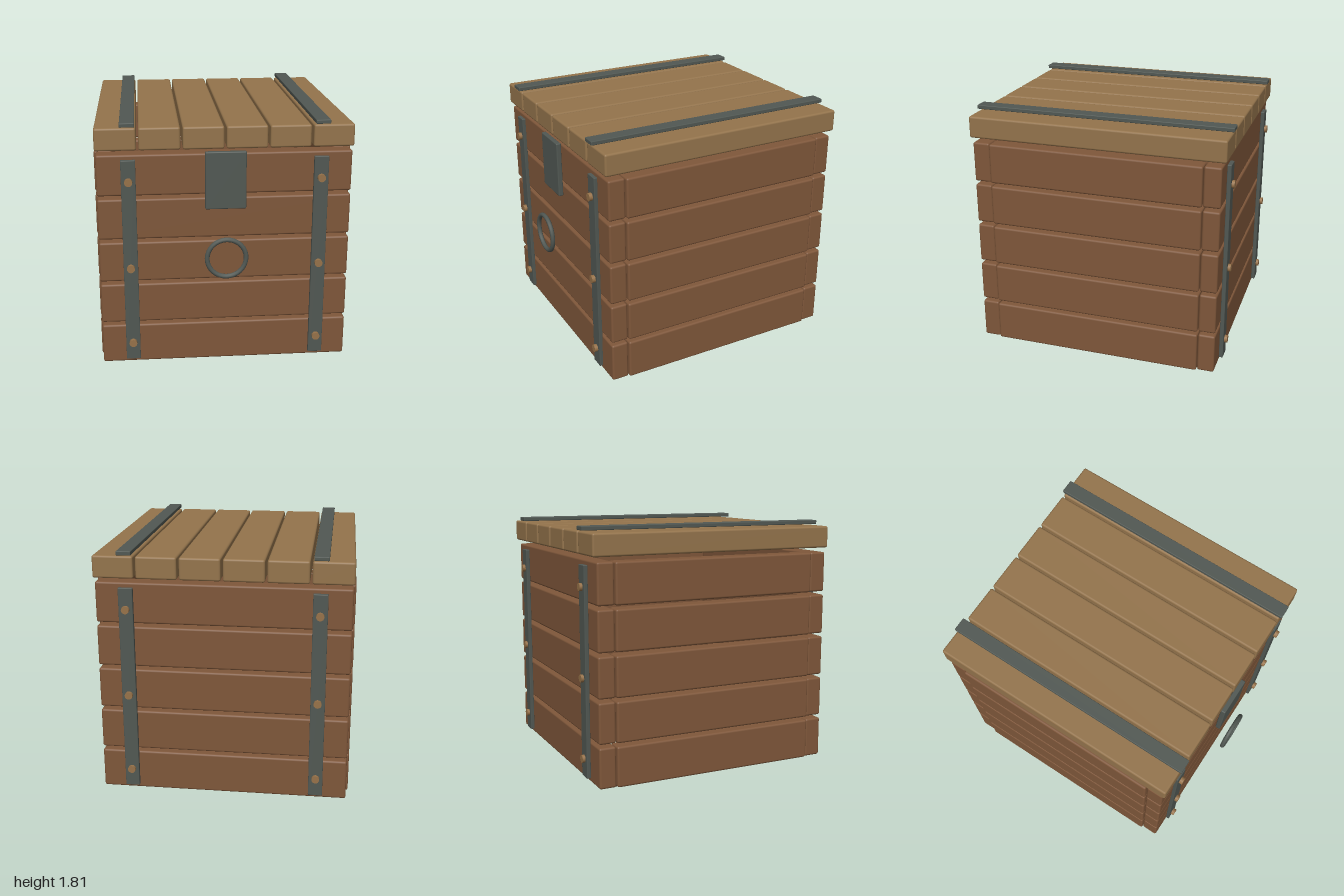
import * as THREE from 'three';
import { RoundedBoxGeometry } from 'three/addons/geometries/RoundedBoxGeometry.js';

const material = (name, color) => {
  const m = new THREE.MeshStandardMaterial({ color });
  m.name = name;
  return m;
};

export function createModel() {
  const chest = new THREE.Group();
  chest.name = 'woodenChest';

  const darkWood = material('dark wood', 0x7f573a);
  const lightWood = material('light wood', 0x94744c);
  const iron = material('iron', 0x515853);
  const brass = material('brass', 0x977249);

  // Bevelled board given by its extents on each axis
  function board(name, mat, [x0, x1], [y0, y1], [z0, z1], bevel = 0.015) {
    const geometry = new RoundedBoxGeometry(x1 - x0, y1 - y0, z1 - z0, 2, bevel);
    const mesh = new THREE.Mesh(geometry, mat);
    mesh.position.set((x0 + x1) / 2, (y0 + y1) / 2, (z0 + z1) / 2);
    mesh.name = name;
    chest.add(mesh);
    return mesh;
  }

  // Walls: five courses of planks
  for (let i = 0; i < 5; i++) {
    const y = [0.02 + i * 0.318, 0.313 + i * 0.318];
    board('frontPlank', darkWood, [-0.89, 0.89], y, [0.74, 0.865]);
    board('backPlank', darkWood, [-0.89, 0.89], y, [-0.945, -0.822]);
    board('leftPlank', darkWood, [0.78, 0.905], y, [-0.818, 0.736]);
    board('rightPlank', darkWood, [-0.905, -0.78], y, [-0.818, 0.736]);
  }

  // Two runners under the side walls, open in the middle
  board('leftRunner', darkWood, [0.55, 0.83], [0, 0.1], [-0.87, 0.79]);
  board('rightRunner', darkWood, [-0.83, -0.55], [0, 0.1], [-0.87, 0.79]);

  // Lid: six planks running front to back
  for (let i = 0; i < 6; i++) {
    const x = (i - 2.5) * 0.301;
    board('lidPlank', lightWood, [x - 0.1425, x + 0.1425], [1.618, 1.776], [-0.975, 0.885]);
  }

  // Iron straps and their rivets
  const rivetGeometry = new THREE.CylinderGeometry(0.028, 0.028, 0.03, 16);
  rivetGeometry.rotateX(Math.PI / 2);
  for (const side of [-1, 1]) {
    const x = [side * 0.67 - 0.051, side * 0.67 + 0.051];
    board('frontStrap', iron, x, [0.05, 1.552], [0.862, 0.89], 0.005);
    board('backStrap', iron, x, [0.05, 1.552], [-0.976, -0.946], 0.005);
    board('lidStrap', iron, x, [1.783, 1.812], [-0.985, 0.9], 0.005);
    for (const y of [0.185, 0.765, 1.4]) {
      for (const z of [0.9, -0.982]) {
        const rivet = new THREE.Mesh(rivetGeometry, brass);
        rivet.name = 'rivet';
        rivet.position.set(side * 0.67, y, z);
        chest.add(rivet);
      }
    }
  }

  // Latch plate and pull ring
  board('latchPlate', iron, [-0.143, 0.143], [1.195, 1.605], [0.878, 0.915], 0.008);
  const ring = new THREE.Mesh(new THREE.TorusGeometry(0.137, 0.017, 10, 32), iron);
  ring.name = 'pullRing';
  ring.position.set(0, 0.855, 0.98);
  chest.add(ring);

  return chest;
}
